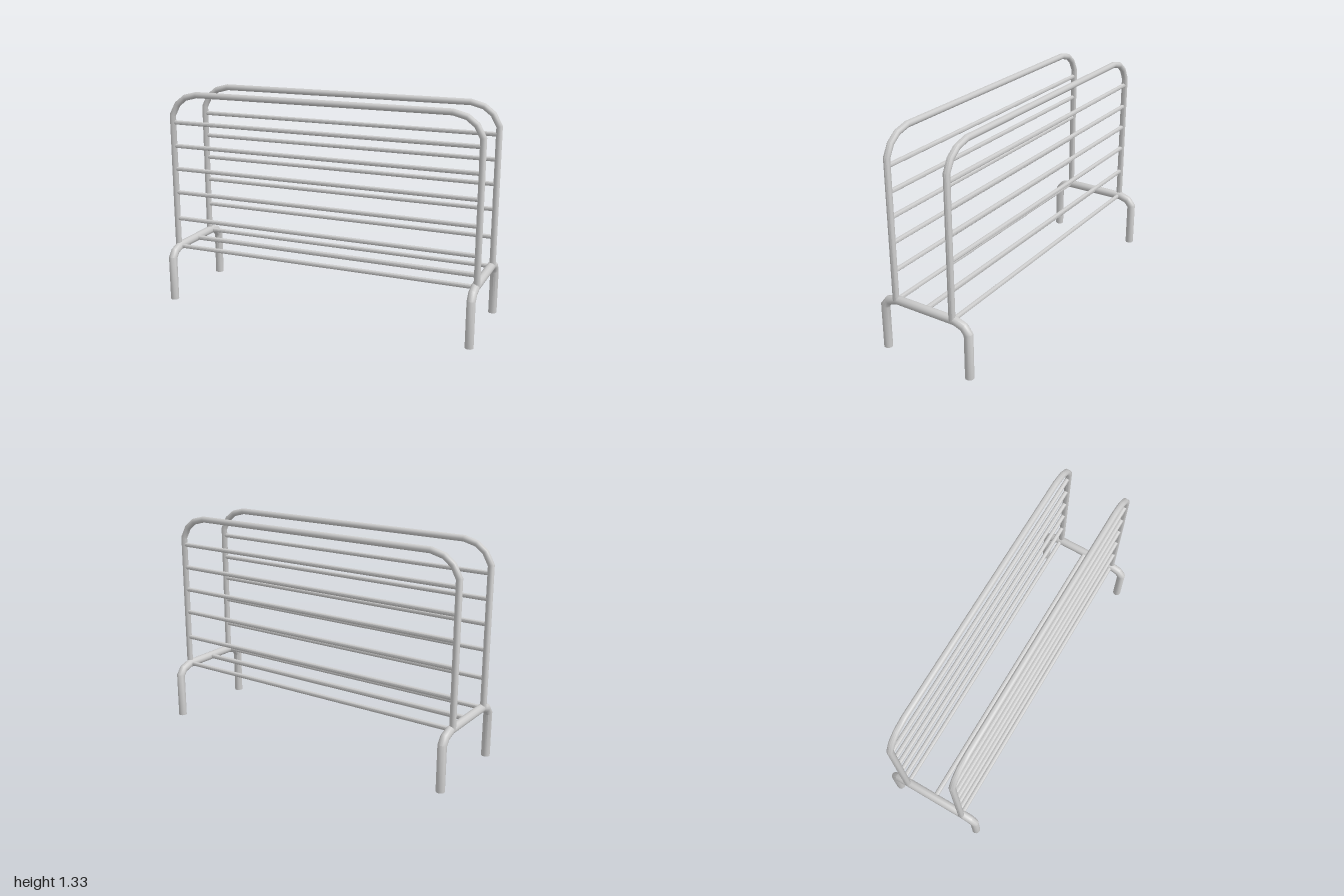
import * as THREE from 'three';
import { toCreasedNormals } from 'three/addons/utils/BufferGeometryUtils.js';

const SIDES = 12;
const grey = new THREE.MeshStandardMaterial({ color: 0xcccccc });

// Round pipe along a flat path of [u, y] points, with mitred rings at the bends and capped ends.
// Built in the xy plane; side is the direction across the path's plane.
function pipe(points, radius) {
  const path = points.map(([u, y]) => new THREE.Vector2(u, y));
  const pos = [], index = [];
  const last = path.length - 1;
  path.forEach((p, i) => {
    const a = path[Math.max(i - 1, 0)], b = path[Math.min(i + 1, last)];
    const before = (i > 0 ? p.clone().sub(a) : b.clone().sub(p)).normalize();
    const after = (i < last ? b.clone().sub(p) : p.clone().sub(a)).normalize();
    const t = before.clone().add(after).normalize();
    const miter = radius / t.dot(after);
    for (let k = 0; k < SIDES; k++) {
      const ang = (k / SIDES) * Math.PI * 2;
      const n = Math.cos(ang) * miter;
      pos.push(p.x - t.y * n, p.y + t.x * n, Math.sin(ang) * radius);
    }
  });
  for (let i = 0; i < last; i++) {
    for (let k = 0; k < SIDES; k++) {
      const a = i * SIDES + k, b = i * SIDES + (k + 1) % SIDES;
      index.push(a, b, a + SIDES, b, b + SIDES, a + SIDES);
    }
  }
  const end = last * SIDES;
  for (let k = 1; k < SIDES - 1; k++) {
    index.push(0, k + 1, k, end, end + k, end + k + 1);
  }
  const geo = new THREE.BufferGeometry();
  geo.setAttribute('position', new THREE.Float32BufferAttribute(pos, 3));
  geo.setIndex(index);
  return toCreasedNormals(geo, 0.7);
}

// Completes a half path (listed from its foot up to the last bend) by mirroring it
const mirrored = (half) => [...half, ...half.map(([u, y]) => [-u, y]).reverse()];

function add(group, name, geometry, x, y, z) {
  const mesh = new THREE.Mesh(geometry, grey);
  mesh.name = name;
  mesh.position.set(x, y, z);
  group.add(mesh);
}

export function createModel() {
  const model = new THREE.Group();
  model.name = 'barrierRack';

  // Bent legs, one arch at each end
  const legGeo = pipe(mirrored([[-0.287, 0], [-0.287, 0.275], [-0.258, 0.313], [-0.2, 0.333]]), 0.026);
  legGeo.rotateY(-Math.PI / 2);
  add(model, 'leftLegArch', legGeo, 0.968, 0, 0);
  add(model, 'rightLegArch', legGeo, -0.968, 0, 0);

  // Two upright hoops with their horizontal bars
  const hoopGeo = pipe(mirrored([
    [-0.976, 0.335], [-0.976, 1.18], [-0.938, 1.25], [-0.883, 1.292], [-0.803, 1.313],
  ]), 0.019);
  const barGeo = pipe([[-0.965, 0], [0.965, 0]], 0.0135);
  const barHeights = [0.333, 0.517, 0.688, 0.84, 0.987, 1.135];
  for (const [side, z] of [['front', 0.2], ['back', -0.186]]) {
    const panel = new THREE.Group();
    panel.name = side + 'Panel';
    add(panel, side + 'Hoop', hoopGeo, 0, 0, z);
    barHeights.forEach((y, i) => add(panel, side + 'Bar' + (i + 1), barGeo, 0, y, z));
    model.add(panel);
  }

  // Floor bar between the two panels
  add(model, 'middleBar', pipe([[-0.96, 0], [0.96, 0]], 0.0155), 0, 0.333, 0.004);
  return model;
}
